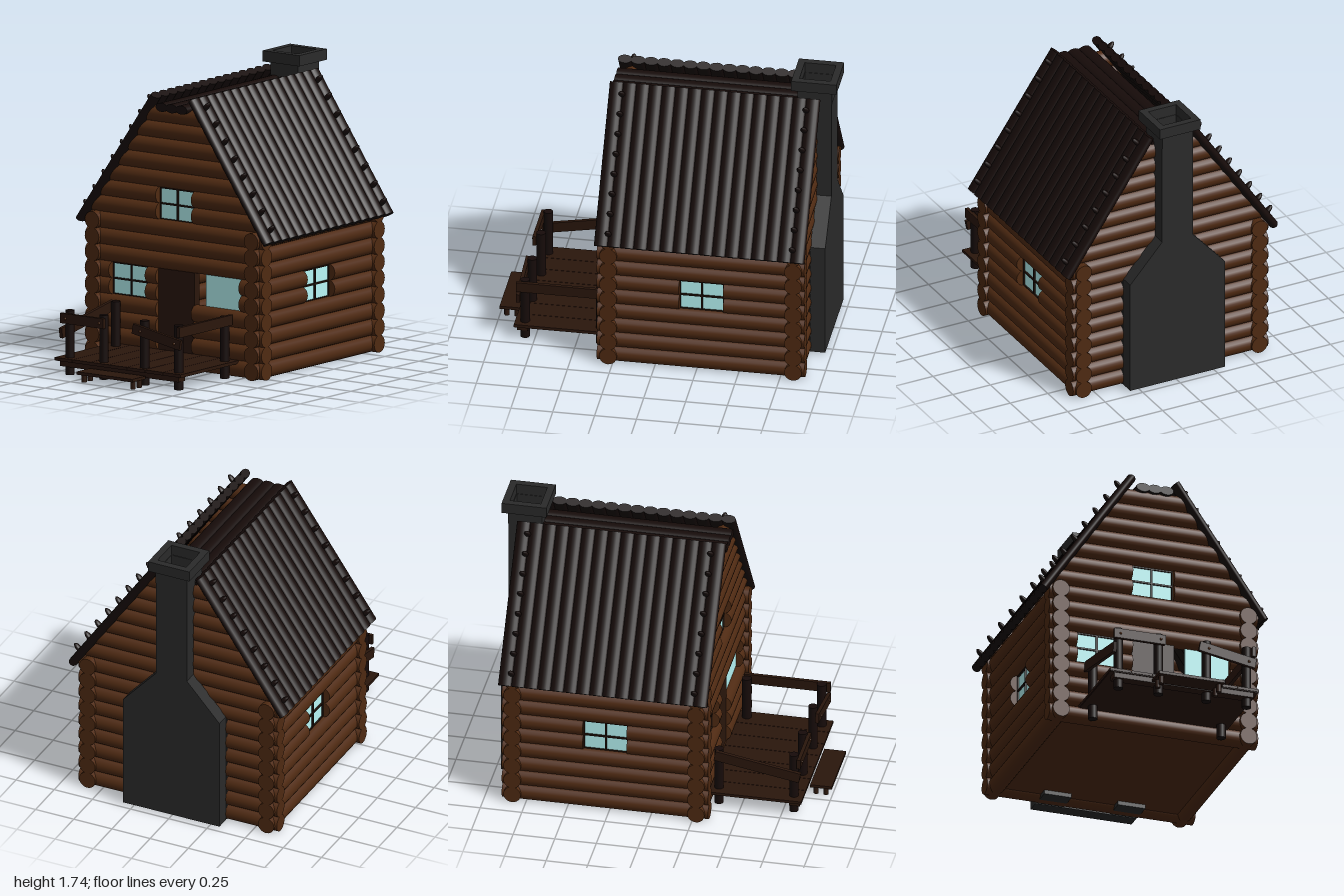
import * as THREE from 'three';

const mat = (color, side = THREE.FrontSide) => new THREE.MeshStandardMaterial({ color, side });
const LOG = mat(0x4f2a12), ROOF = mat(0x160b09), WOOD = mat(0x2a160c), DOOR = mat(0x2a160c);
const STONE = mat(0x2a2a2a), FRAME = mat(0x20130b), GLASS = mat(0xb8f8f8, THREE.DoubleSide);

const ROW = 0.0975, R = 0.052;
const rowY = (i) => R + ROW * i;
const SLOPE = 0.69; // sideways run of the roof per unit of height
const roofX = (y) => 0.69 - SLOPE * (y - 0.825);

export function createModel() {
  const model = new THREE.Group();
  const add = (parent, name, geo, m, x = 0, y = 0, z = 0) => {
    const mesh = new THREE.Mesh(geo, m);
    mesh.name = name;
    mesh.position.set(x, y, z);
    parent.add(mesh);
    return mesh;
  };
  const group = (name, parent = model) => {
    const g = new THREE.Group();
    g.name = name;
    parent.add(g);
    return g;
  };
  // box given by its limits on each axis
  const box = (parent, name, m, x0, x1, y0, y1, z0, z1) =>
    add(parent, name, new THREE.BoxGeometry(x1 - x0, y1 - y0, z1 - z0), m, (x0 + x1) / 2, (y0 + y1) / 2, (z0 + z1) / 2);

  // log along x from a to b, interrupted by gaps [from, to]
  const logRow = (parent, a, b, y, z, gaps = [], sheared = false) => {
    const cuts = [a, ...gaps.flat(), b];
    for (let i = 0; i < cuts.length; i += 2) {
      const geo = new THREE.CylinderGeometry(R, R, cuts[i + 1] - cuts[i], 20).rotateZ(Math.PI / 2);
      geo.translate((cuts[i] + cuts[i + 1]) / 2, 0, 0);
      if (sheared) {
        const p = geo.attributes.position;
        for (let k = 0; k < p.count; k++) {
          const x = p.getX(k);
          if (Math.abs(x - a) < 1e-4) p.setX(k, x + SLOPE * p.getY(k));
          if (Math.abs(x - b) < 1e-4) p.setX(k, x - SLOPE * p.getY(k));
        }
      }
      add(parent, 'log', geo, LOG, 0, y, z);
    }
  };

  // front and back walls with their gables
  const frontGaps = (i) => {
    if (i === 4 || i === 5) return [[-0.475, -0.21], [-0.13, 0.48]];
    if (i >= 1 && i <= 3) return [[-0.13, 0.13]];
    if (i === 9 || i === 10) return [[-0.13, 0.13]];
    return [];
  };
  const front = group('frontWall'), back = group('backWall');
  for (let i = 0; i < 16; i++) {
    const y = rowY(i), half = i < 9 ? 0.65 : roofX(y) - 0.01;
    logRow(front, -half, half, y, 0.275, frontGaps(i), i >= 9);
    logRow(back, -half, half, y, -0.83, [], i >= 9);
  }

  // side walls, built along x and turned
  for (const s of [-1, 1]) {
    const side = group(s > 0 ? 'leftWall' : 'rightWall');
    side.rotation.y = Math.PI / 2;
    for (let i = 0; i < 9; i++) {
      logRow(side, -0.345, 0.895, rowY(i), s * 0.585, i === 4 || i === 5 ? [[0.145, 0.41]] : []);
    }
  }
  box(model, 'floor', LOG, -0.6, 0.6, 0.03, 0.06, -0.85, 0.3);

  // four-pane windows
  const window4 = (name, w, h) => {
    const g = group(name), t = 0.01;
    add(g, 'glass', new THREE.PlaneGeometry(w, h), GLASS);
    for (const x of [-w / 2, 0, w / 2]) add(g, 'windowBar', new THREE.BoxGeometry(t, h, 0.02), FRAME, x);
    for (const y of [-h / 2, 0, h / 2]) add(g, 'windowBar', new THREE.BoxGeometry(w, t, 0.02), FRAME, 0, y);
    return g;
  };
  window4('frontWindow', 0.265, 0.19).position.set(-0.342, 0.489, 0.275);
  window4('gableWindow', 0.26, 0.19).position.set(0, 0.976, 0.275);
  for (const s of [-1, 1]) {
    const w = window4('sideWindow', 0.265, 0.19);
    w.rotation.y = s * Math.PI / 2;
    w.position.set(s * 0.585, 0.489, -0.277);
  }
  box(model, 'slidingPane', GLASS, 0.208, 0.48, 0.39, 0.587, 0.268, 0.28);

  // door
  box(model, 'door', DOOR, -0.13, 0.135, 0.09, 0.588, 0.25, 0.295);

  // roof: flattened logs running down both slopes
  const roof = group('roof');
  const y0 = 0.825, y1 = 1.627, rise = y1 - y0, run = rise * SLOPE;
  for (const s of [-1, 1]) {
    const slope = group('roofSlope', roof);
    slope.position.set(s * (roofX(y0) - run / 2), (y0 + y1) / 2, 0);
    slope.rotation.z = s * Math.atan2(run, rise);
    const len = Math.hypot(run, rise);
    for (let i = 0; i < 16; i++) {
      const geo = new THREE.CylinderGeometry(0.043, 0.043, len, 16).scale(0.62, 1, 1);
      add(slope, 'roofLog', geo, ROOF, 0, 0, 0.309 - i * 0.0781);
    }
    // peg tips poking through above each gable row
    for (let i = 0; i < 8; i++) {
      const y = 0.895 + i * ROW;
      for (const z of [0.27, -0.83]) {
        const peg = add(roof, 'peg', new THREE.SphereGeometry(1, 12, 8), ROOF, s * (roofX(y) + 0.03), y + 0.008, z);
        peg.scale.set(0.04, 0.015, 0.02);
        peg.rotation.z = s * 0.8;
      }
    }
  }
  for (let i = -1; i <= 1; i++) {
    const geo = new THREE.CylinderGeometry(0.043, 0.043, 1.2, 16).rotateX(Math.PI / 2).scale(1, 0.62, 1);
    add(roof, 'ridgeLog', geo, ROOF, i * 0.073, 1.564, -0.255);
  }

  // chimney: shouldered breast, hollow stack and cap
  const chimney = group('chimney');
  const breast = new THREE.Shape([[-0.315, 0.01], [0.315, 0.01], [0.315, 0.72], [0.102, 0.955], [0.102, 1.58],
    [-0.102, 1.58], [-0.102, 0.955], [-0.315, 0.72]].map(([x, y]) => new THREE.Vector2(x, y)));
  add(chimney, 'breast', new THREE.ExtrudeGeometry(breast, { depth: 0.09, bevelEnabled: false }), STONE, 0, 0, -0.965);
  const ring = (name, half, hole, y, h) => {
    const square = (C, r) => new C([[-r, -r], [r, -r], [r, r], [-r, r]].map(([x, z]) => new THREE.Vector2(x, z)));
    const shape = square(THREE.Shape, half);
    shape.holes.push(square(THREE.Path, hole));
    const geo = new THREE.ExtrudeGeometry(shape, { depth: h, bevelEnabled: false }).rotateX(-Math.PI / 2);
    add(chimney, name, geo, STONE, 0, y, -0.865);
  };
  ring('stack', 0.102, 0.09, 1.58, 0.09);
  ring('cap', 0.135, 0.093, 1.67, 0.065);
  box(chimney, 'flueBottom', STONE, -0.1, 0.1, 1.3, 1.58, -0.96, -0.765);

  // fireplace inside the back wall
  box(chimney, 'fireplace', STONE, -0.315, 0.315, 0.06, 0.72, -0.87, -0.72);
  for (const s of [-1, 1]) box(chimney, 'hearthFoot', STONE, s * 0.23 - 0.085, s * 0.23 + 0.085, 0.005, 0.07, -0.86, -0.72);

  // porch deck and step
  const porch = group('porch');
  for (let i = 0; i < 7; i++) {
    const x = -0.465 + i * 0.1329;
    box(porch, 'plank', WOOD, x, x + 0.13, 0.086, 0.103, 0.3, 0.87);
  }
  box(porch, 'deckBase', DOOR, -0.46, 0.46, 0.083, 0.087, 0.3, 0.865);
  box(porch, 'frontBeam', WOOD, -0.435, 0.435, 0.052, 0.083, 0.79, 0.855);
  box(porch, 'step', WOOD, -0.205, 0.205, 0.048, 0.066, 0.87, 1.0);
  for (const x of [-0.18, 0.18]) for (const z of [0.9, 0.96])
    add(porch, 'stepLeg', new THREE.CylinderGeometry(0.016, 0.016, 0.05, 12), WOOD, x, 0.025, z);

  // porch posts
  for (const [x, z, h] of [[-0.395, 0.812, 0.385], [-0.145, 0.812, 0.385], [0.155, 0.812, 0.385], [0.405, 0.812, 0.385],
    [-0.395, 0.362, 0.37], [0.405, 0.362, 0.37]])
    add(porch, 'post', new THREE.CylinderGeometry(0.028, 0.028, h, 16), ROOF, x, h / 2, z);

  // rails, two of them sagging
  add(porch, 'frontRail', new THREE.BoxGeometry(0.32, 0.06, 0.022), WOOD, -0.275, 0.34, 0.848);
  add(porch, 'saggingFrontRail', new THREE.BoxGeometry(0.355, 0.06, 0.022), WOOD, 0.273, 0.305, 0.848).rotation.z = -0.18;
  add(porch, 'sideRail', new THREE.BoxGeometry(0.022, 0.062, 0.52), WOOD, 0.437, 0.35, 0.6);
  add(porch, 'saggingSideRail', new THREE.BoxGeometry(0.022, 0.062, 0.52), WOOD, -0.43, 0.295, 0.6).rotation.x = 0.18;

  // rail bolts
  for (const [x, y] of [[-0.395, 0.34], [-0.145, 0.34], [0.155, 0.326], [0.405, 0.28]])
    add(porch, 'bolt', new THREE.SphereGeometry(0.008, 10, 8), LOG, x, y, 0.859);

  return model;
}
